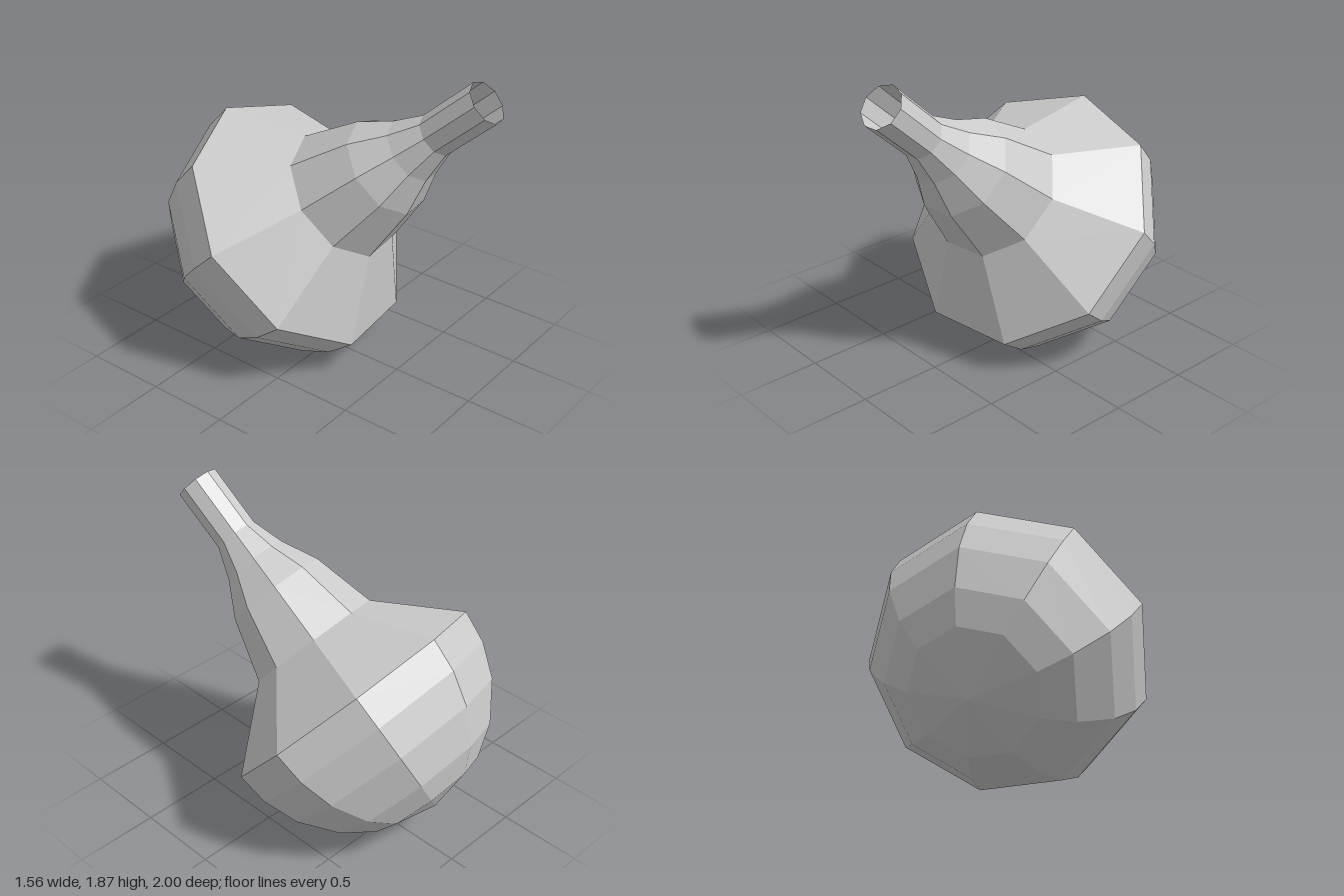
import * as THREE from 'three';

const SIDES = 9;
const RADIUS = 0.8;

export function createModel() {
  const material = new THREE.MeshStandardMaterial({
    color: 0xcccccc, flatShading: true, side: THREE.DoubleSide,
  });
  const body = new THREE.Group();
  body.name = 'tiltedBody';

  // Turned part from [radius, height] pairs along the axis, bottom to top
  const turned = (name, profile) => {
    const points = profile.map(([r, h]) => new THREE.Vector2(r, h));
    const mesh = new THREE.Mesh(new THREE.LatheGeometry(points, SIDES), material);
    mesh.name = name;
    body.add(mesh);
  };

  // Round bowl: latitude rings from the pole up to the rim
  turned('bowl', [90, 63, 48, 29.4, 14, 0].map((deg) => {
    const a = THREE.MathUtils.degToRad(deg);
    return [deg === 90 ? 0 : RADIUS * Math.cos(a), -RADIUS * Math.sin(a)];
  }));

  // Sloping shoulder from the rim to the neck
  turned('shoulder', [[RADIUS, 0], [0.397, 0.376]]);

  // Tapering neck ending in an open tube
  turned('neck', [[0.397, 0.376], [0.297, 0.742], [0.19, 0.948], [0.127, 1.133], [0.127, 1.508]]);

  // Lean the axis up and forward, with one corner line along the upper back
  const axis = new THREE.Vector3(0.093, 0.663, 0.743).normalize();
  const back = new THREE.Vector3(-0.075, 0.75, -0.656);
  back.addScaledVector(axis, -back.dot(axis)).normalize();
  const side = new THREE.Vector3().crossVectors(axis, back);
  body.quaternion.setFromRotationMatrix(new THREE.Matrix4().makeBasis(side, axis, back));
  body.position.set(0.006, 0.772, -0.208);

  const model = new THREE.Group();
  model.name = 'flask';
  model.add(body);
  return model;
}
